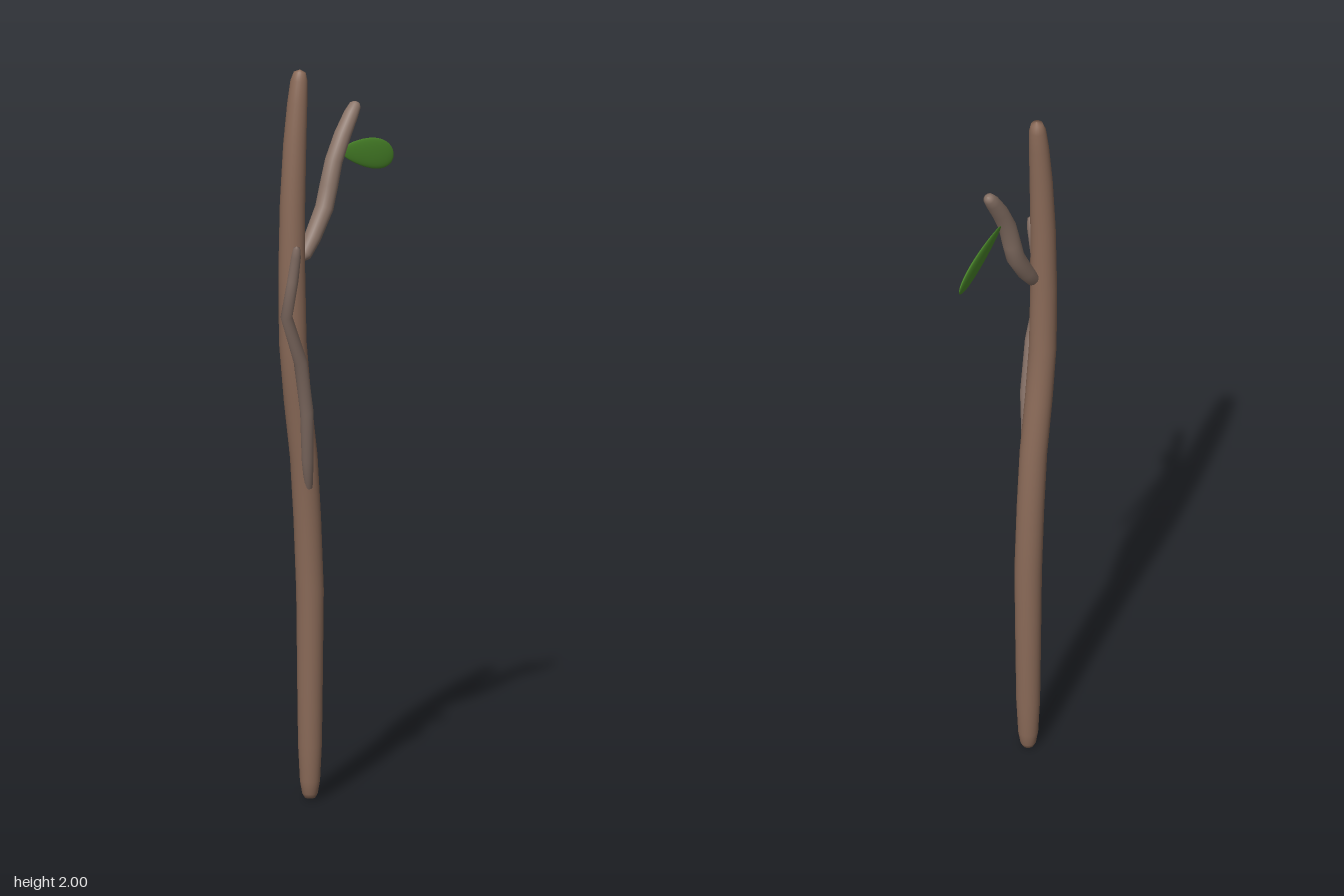
import * as THREE from 'three';

const material = (color) => new THREE.MeshStandardMaterial({ color });

// Round limb through stations [x, y, z, radius]; rings lie across the path.
function limb(name, stations, color, sides = 24) {
  const centres = stations.map(([x, y, z]) => new THREE.Vector3(x, y, z));
  const last = stations.length - 1;
  const positions = [];
  const indices = [];
  centres.forEach((c, i) => {
    const t = centres[Math.min(i + 1, last)].clone().sub(c).normalize();
    t.add(c.clone().sub(centres[Math.max(i - 1, 0)]).normalize()).normalize();
    const n = new THREE.Vector3(0, 0, 1).addScaledVector(t, -t.z).normalize();
    const b = t.clone().cross(n);
    for (let j = 0; j < sides; j++) {
      const a = (j / sides) * Math.PI * 2;
      const p = c.clone()
        .addScaledVector(n, Math.cos(a) * stations[i][3])
        .addScaledVector(b, Math.sin(a) * stations[i][3]);
      positions.push(p.x, p.y, p.z);
      if (i < last) {
        const k = (j + 1) % sides;
        const [p0, p1, q0, q1] = [i * sides + j, i * sides + k, (i + 1) * sides + j, (i + 1) * sides + k];
        indices.push(p0, p1, q1, p0, q1, q0);
      }
    }
  });
  const geometry = new THREE.BufferGeometry();
  geometry.setAttribute('position', new THREE.Float32BufferAttribute(positions, 3));
  geometry.setIndex(indices);
  geometry.computeVertexNormals();
  const mesh = new THREE.Mesh(geometry, material(color));
  mesh.name = name;
  return mesh;
}

// Thin lens-shaped blade, narrow at the stem and broad towards the tip.
function leafBlade() {
  const geometry = new THREE.SphereGeometry(1, 32, 20);
  geometry.rotateZ(-Math.PI / 2);
  const p = geometry.attributes.position;
  for (let i = 0; i < p.count; i++) {
    const x = p.getX(i);
    const width = 0.92 + 0.3 * x;
    p.setXYZ(i, x * 0.13, p.getY(i) * 0.043 * width, p.getZ(i) * 0.007 * width);
  }
  geometry.computeVertexNormals();
  const mesh = new THREE.Mesh(geometry, material(0x4c8a2b));
  mesh.name = 'leaf';
  const along = new THREE.Vector3(0.25, -0.055, -0.037).normalize();
  const face = new THREE.Vector3(0.12, 0.18, 1).addScaledVector(along, 0).cross(along).normalize();
  const normal = along.clone().cross(face).normalize();
  mesh.quaternion.setFromRotationMatrix(new THREE.Matrix4().makeBasis(along, face, normal));
  mesh.position.set(0.16, 1.722, -0.06);
  return mesh;
}

export function createModel() {
  const group = new THREE.Group();
  group.name = 'twig';

  // Main stem, tapered and rounded at both ends
  group.add(limb('stem', [
    [-0.085, 0, -0.047, 0], [-0.085, 0.003, -0.047, 0.014], [-0.085, 0.015, -0.047, 0.021],
    [-0.085, 0.05, -0.047, 0.027], [-0.085, 0.15, -0.047, 0.032], [-0.085, 0.3, -0.047, 0.034],
    [-0.085, 0.57, -0.047, 0.037], [-0.096, 0.77, -0.047, 0.037], [-0.11, 0.94, -0.047, 0.037],
    [-0.135, 1.1, -0.047, 0.037], [-0.154, 1.26, -0.047, 0.037], [-0.158, 1.45, -0.047, 0.036],
    [-0.155, 1.64, -0.047, 0.034], [-0.146, 1.8, -0.047, 0.031], [-0.136, 1.91, -0.047, 0.027],
    [-0.129, 1.97, -0.047, 0.023], [-0.126, 1.993, -0.047, 0.016], [-0.125, 2, -0.047, 0],
  ], 0x8a6a58));

  // Upper branch carrying the leaf
  group.add(limb('upperBranch', [
    [-0.133, 1.483, -0.038, 0], [-0.13, 1.485, -0.038, 0.011], [-0.117, 1.494, -0.038, 0.019],
    [-0.085, 1.535, -0.038, 0.023], [-0.038, 1.608, -0.038, 0.025], [-0.02, 1.665, -0.038, 0.025],
    [0, 1.73, -0.038, 0.024], [0.035, 1.795, -0.038, 0.023], [0.07, 1.847, -0.038, 0.02],
    [0.086, 1.868, -0.038, 0.016], [0.092, 1.875, -0.038, 0.009], [0.093, 1.877, -0.038, 0],
  ], 0x8a7468));

  // Thin lower branch, bending forwards
  group.add(limb('lowerBranch', [
    [-0.115, 0.85, -0.025, 0], [-0.117, 0.86, -0.023, 0.011], [-0.137, 0.94, -0.009, 0.016],
    [-0.164, 1.08, 0.012, 0.018], [-0.2, 1.225, 0.021, 0.018], [-0.27, 1.36, 0.034, 0.016],
    [-0.266, 1.46, 0.053, 0.015], [-0.272, 1.53, 0.07, 0.013], [-0.276, 1.555, 0.076, 0.009],
    [-0.277, 1.56, 0.077, 0],
  ], 0x857066));

  group.add(leafBlade());
  return group;
}
